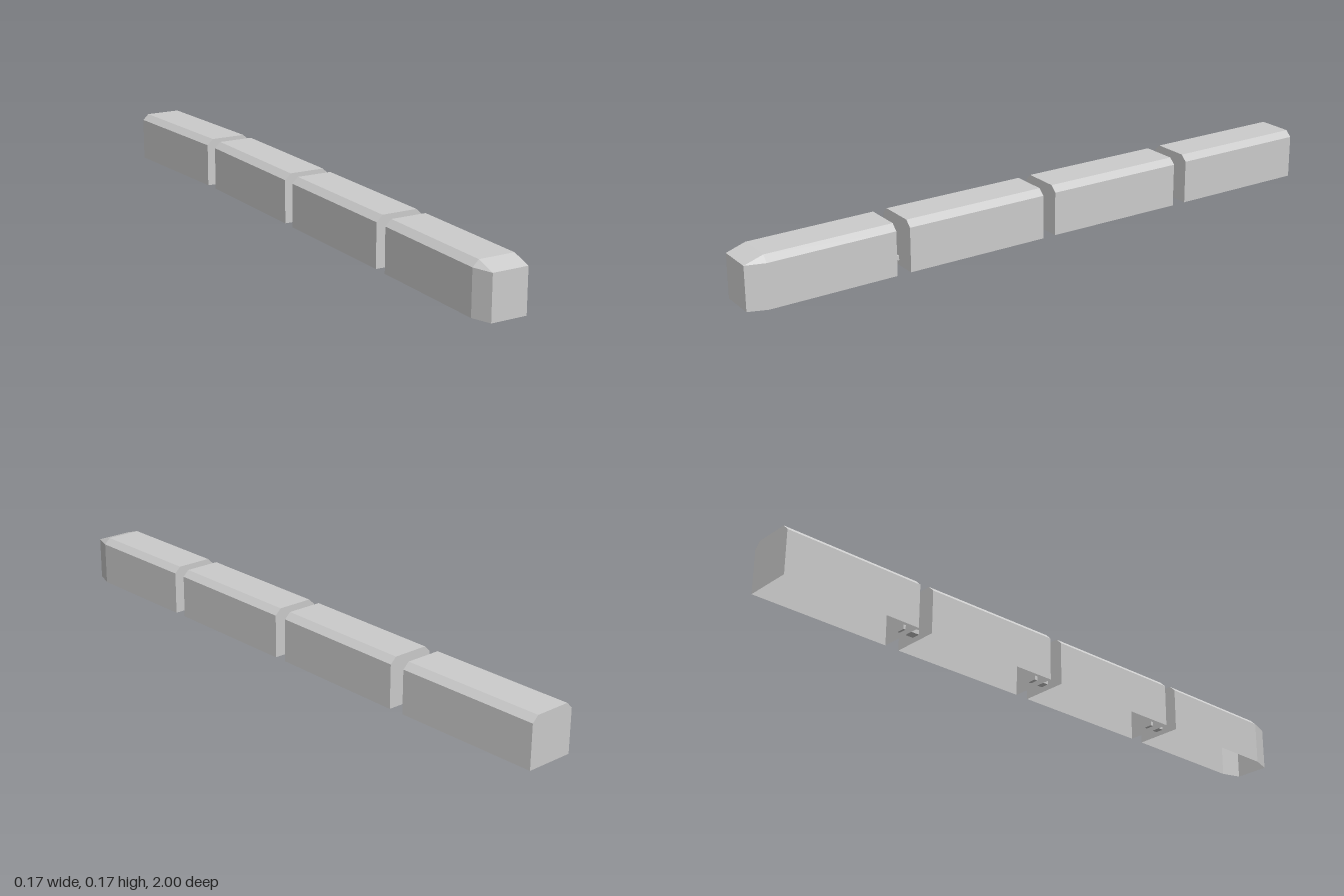
import * as THREE from 'three';

const material = new THREE.MeshStandardMaterial({ color: 0xcccccc, flatShading: true, side: THREE.DoubleSide });

// Cross-section of a shell, open at the bottom, with chamfered roof edges
function section({ z, x, y, half = 0.0775, roofHalf = 0.0577, side = 0.138, top = 0.157 }) {
  const right = [[half, 0], [half, side], [roofHalf, top]];
  const left = right.map(([px, py]) => [-px, py]).reverse();
  return [...right, ...left].map(([px, py]) => [x + px, y + py, z]);
}

// Joins sections ordered from front to back and closes both ends
function shell(name, ends) {
  const rings = ends.map(section);
  const n = rings[0].length;
  const positions = [];
  const tri = (a, b, c) => positions.push(...a, ...b, ...c);
  for (let r = 0; r < rings.length - 1; r++) {
    const f = rings[r], b = rings[r + 1];
    for (let i = 0; i < n - 1; i++) {
      tri(f[i], b[i], f[i + 1]);
      tri(f[i + 1], b[i], b[i + 1]);
    }
  }
  const front = rings[0], back = rings[rings.length - 1];
  for (let i = 1; i < n - 1; i++) {
    tri(front[0], front[i], front[i + 1]);
    tri(back[0], back[i + 1], back[i]);
  }
  const geometry = new THREE.BufferGeometry();
  geometry.setAttribute('position', new THREE.Float32BufferAttribute(positions, 3));
  geometry.computeVertexNormals();
  const mesh = new THREE.Mesh(geometry, material);
  mesh.name = name;
  return mesh;
}

export function createModel() {
  const group = new THREE.Group();
  group.name = 'articulatedTrain';

  // Leading car with a tapered nose
  group.add(shell('leadCar', [
    { z: 1, x: 0.0075, y: 0, half: 0.0575, roofHalf: 0.0575, side: 0.137, top: 0.137 },
    { z: 0.94, x: 0.0075, y: 0 },
    { z: 0.535, x: 0.007, y: 0.005 },
  ]));

  // Trailing cars, the last one turned slightly to the side
  const cars = [
    ['secondCar', { z: 0.49, x: 0.007, y: 0.006 }, { z: 0.024, x: 0.006, y: 0.009 }],
    ['thirdCar', { z: -0.02, x: 0.006, y: 0.01 }, { z: -0.483, x: 0.006, y: 0.012 }],
    ['rearCar', { z: -0.532, x: 0.004, y: 0.012 }, { z: -1, x: -0.0115, y: 0.008 }],
  ];
  for (const [name, front, back] of cars) group.add(shell(name, [front, back]));

  // Couplers bridging the gaps
  for (const [x, y, z] of [[0.002, 0.028, 0.512], [0.003, 0.034, 0.002], [0.002, 0.036, -0.507]]) {
    const coupler = new THREE.Mesh(new THREE.BoxGeometry(0.028, 0.014, 0.065), material);
    coupler.name = 'coupler';
    coupler.position.set(x, y, z);
    group.add(coupler);
  }
  return group;
}
